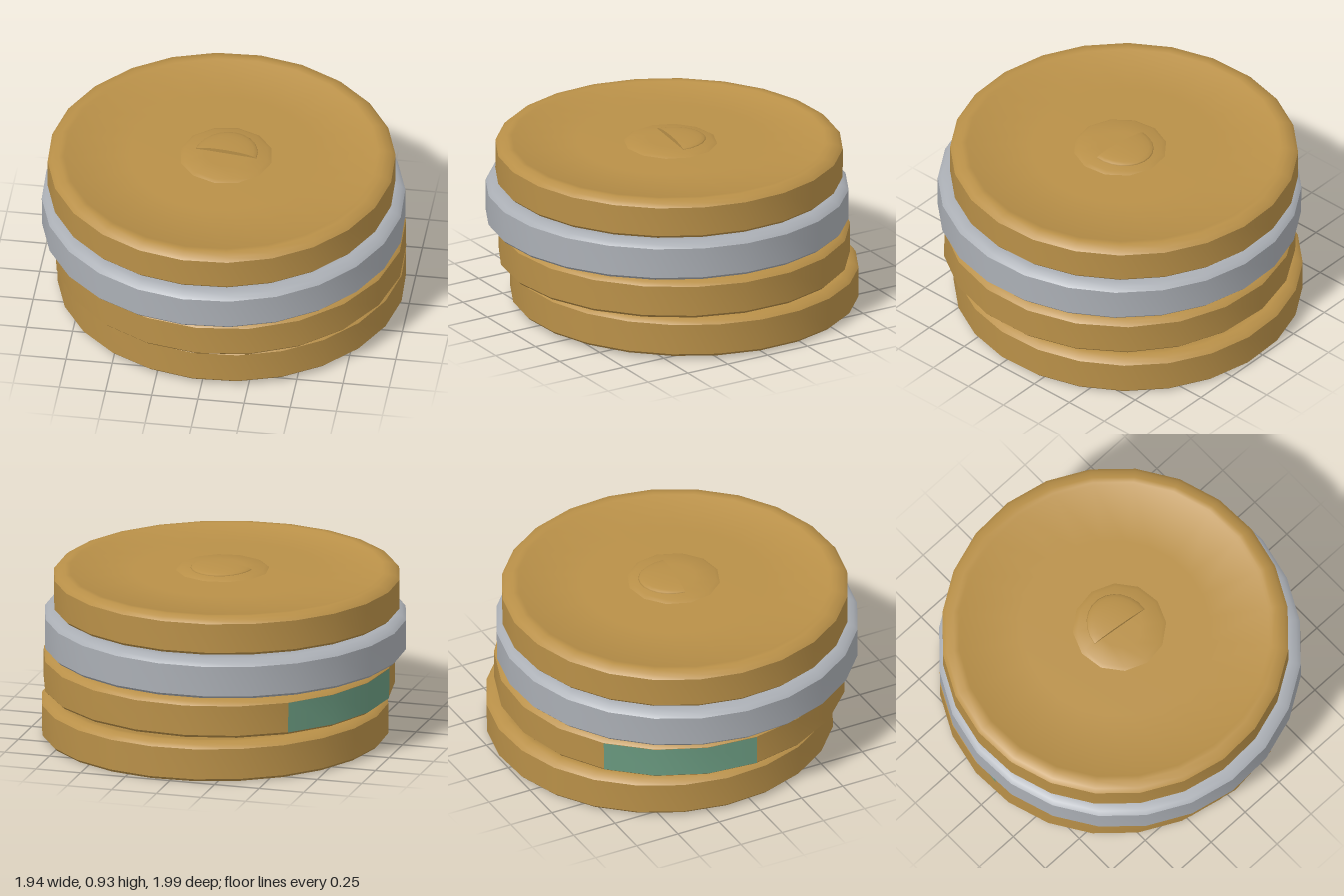
import * as THREE from 'three';
import { toCreasedNormals } from 'three/addons/utils/BufferGeometryUtils.js';

const gold = new THREE.MeshStandardMaterial({ color: 0xb99048 });
gold.name = 'old gold';
const silver = new THREE.MeshStandardMaterial({ color: 0xabafb5 });
silver.name = 'silver';
const green = new THREE.MeshStandardMaterial({ color: 0x6a9a80 });
green.name = 'green patina';

const lathe = (pts, sides, start = 0, length = Math.PI * 2) =>
  toCreasedNormals(new THREE.LatheGeometry(pts.map(p => new THREE.Vector2(...p)), sides, start, length), 0.62);

function addMesh(parent, name, geometry, material) {
  const mesh = new THREE.Mesh(geometry, material);
  mesh.name = name;
  parent.add(mesh);
  return mesh;
}

// Bevelled disc with a raised rim around a slightly sunken face
function coinProfile(r, h) {
  return [
    [0, 0], [r - 0.015, 0], [r, 0.015], [r, h - 0.03], [r - 0.02, h - 0.01], [r - 0.06, h],
    [0.845, h], [0.83, h - 0.01], [0.5, h - 0.006], [0, h - 0.003],
  ];
}

export function createModel() {
  const group = new THREE.Group();
  group.name = 'coinStack';

  // Coins from bottom to top, each a little shifted and tilted
  const coins = [
    { name: 'bottomCoin', r: 0.935, h: 0.213, pos: [0.03, 0.014, -0.065], tilt: [-0.012, 0], sides: 24, mat: gold },
    { name: 'secondCoin', r: 0.945, h: 0.21, pos: [0.03, 0.245, 0], tilt: [-0.013, 0.009], sides: 21, mat: gold },
    { name: 'silverCoin', r: 0.975, h: 0.21, pos: [0, 0.47, 0.025], tilt: [-0.013, 0.009], sides: 24, mat: silver },
    { name: 'topCoin', r: 0.933, h: 0.205, pos: [-0.015, 0.698, 0.003], tilt: [-0.004, 0], sides: 24, mat: gold },
  ];
  const start = THREE.MathUtils.degToRad(220);
  for (const c of coins) {
    const coin = new THREE.Group();
    coin.name = c.name;
    coin.position.set(...c.pos);
    coin.rotation.set(c.tilt[0], 0, c.tilt[1]);
    addMesh(coin, c.name + 'Disc', lathe(coinProfile(c.r, c.h), c.sides, start), c.mat);
    group.add(coin);
  }

  // Green patch covering three facets on the edge of the second coin
  const second = coins[1], edge = second.r + 0.003;
  const patch = lathe([[edge, 0.014], [edge, second.h - 0.03]], 3, start, (Math.PI * 2 * 3) / second.sides);
  addMesh(group.getObjectByName('secondCoin'), 'edgePatch', patch, green);

  // Low mound and half dome on the top face
  const emblem = new THREE.Group();
  emblem.name = 'emblem';
  emblem.position.set(0.01, 0.9, 0.01);
  emblem.rotation.y = -0.12;
  group.add(emblem);
  addMesh(emblem, 'mound', lathe([[0.26, -0.006], [0.23, 0.01], [0.12, 0.014], [0, 0.014]], 12), gold);

  const dome = addMesh(emblem, 'halfDome',
    new THREE.SphereGeometry(0.17, 12, 6, Math.PI, Math.PI, 0, Math.PI / 2), gold);
  const wall = addMesh(emblem, 'domeFront', new THREE.CircleGeometry(0.17, 12, 0, Math.PI), gold);
  for (const half of [dome, wall]) {
    half.scale.y = 0.15;
    half.position.y = 0.01;
  }
  dome.scale.z = 1.15;

  return group;
}
